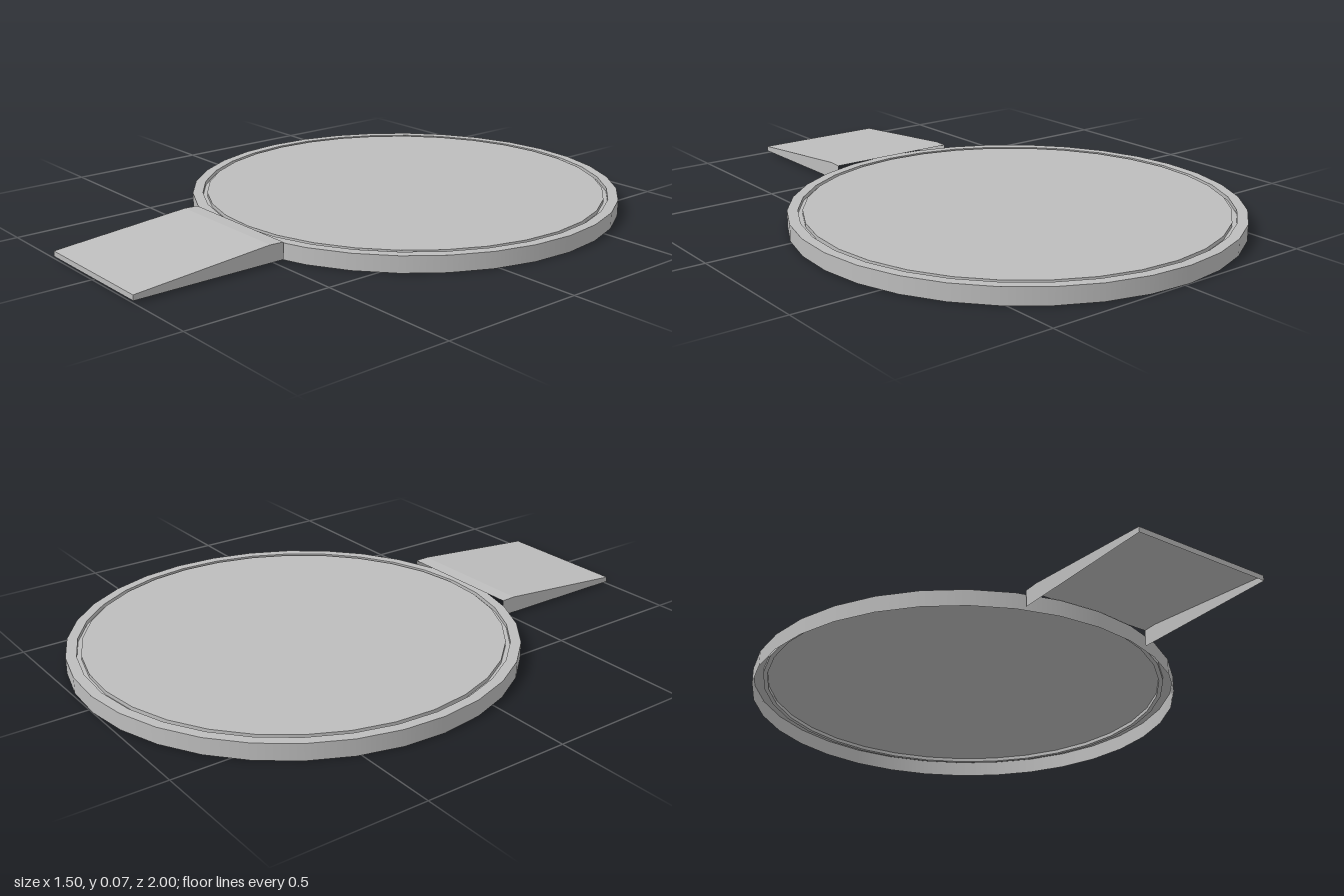
import * as THREE from 'three';

const SEGMENTS = 32;

export function createModel() {
  const model = new THREE.Group();
  model.name = 'turntableWithRamp';
  const grey = new THREE.MeshStandardMaterial({ color: 0xbdbdbd, side: THREE.DoubleSide });
  grey.name = 'plain grey';

  const platform = new THREE.Group();
  platform.name = 'platform';
  platform.position.z = -0.25;
  platform.rotation.y = 0.03;
  model.add(platform);

  // Each ring is one straight profile segment, so the edges between rings stay sharp
  function ring(name, r0, y0, r1, y1) {
    const profile = [new THREE.Vector2(r0, y0), new THREE.Vector2(r1, y1)];
    const mesh = new THREE.Mesh(new THREE.LatheGeometry(profile, SEGMENTS), grey);
    mesh.name = name;
    platform.add(mesh);
  }
  const top = 0.056, floor = 0.043;
  ring('outerWall', 0.75, 0, 0.75, top);
  ring('rimTop', 0.75, top, 0.715, top);
  ring('grooveOuterWall', 0.715, top, 0.715, floor);
  ring('grooveFloor', 0.715, floor, 0.7, floor);
  ring('grooveInnerWall', 0.7, floor, 0.7, top);

  // Flat turning plate inside the groove
  const plate = new THREE.Mesh(new THREE.CircleGeometry(0.7, SEGMENTS), grey);
  plate.name = 'turningPlate';
  plate.geometry.rotateX(-Math.PI / 2).rotateY(Math.PI / 2);
  plate.position.y = top;
  platform.add(plate);

  const ramp = new THREE.Group();
  ramp.name = 'ramp';
  model.add(ramp);
  const half = 0.24, base = 0.007;

  // Deck and front lip: flat quads across the width, following the side profile [z, y]
  const profile = [[0.47, 0.064], [0.52, 0.066], [1, 0.025], [1, base]];
  const names = ['rampCrest', 'rampDeck', 'rampFrontLip'];
  names.forEach((name, i) => {
    const [z0, y0] = profile[i], [z1, y1] = profile[i + 1];
    const geometry = new THREE.BufferGeometry();
    geometry.setAttribute('position', new THREE.Float32BufferAttribute([
      -half, y0, z0, -half, y1, z1, half, y1, z1, half, y0, z0], 3));
    geometry.setIndex([0, 1, 2, 0, 2, 3]);
    geometry.computeVertexNormals();
    const mesh = new THREE.Mesh(geometry, grey);
    mesh.name = name;
    ramp.add(mesh);
  });

  // Side skirts; the ramp is open below and at the back
  const outline = new THREE.Shape([...profile, [0.47, base]].map(([z, y]) => new THREE.Vector2(z, y)));
  for (const side of [-1, 1]) {
    const geometry = new THREE.ShapeGeometry(outline);
    geometry.rotateY(-Math.PI / 2);
    if (side > 0) {
      // Turn the left skirt to face outward
      const index = geometry.index.array;
      for (let i = 0; i < index.length; i += 3) [index[i], index[i + 1]] = [index[i + 1], index[i]];
      geometry.computeVertexNormals();
    }
    const mesh = new THREE.Mesh(geometry, grey);
    mesh.name = side > 0 ? 'rampLeftSkirt' : 'rampRightSkirt';
    mesh.position.x = side * half;
    ramp.add(mesh);
  }
  return model;
}
